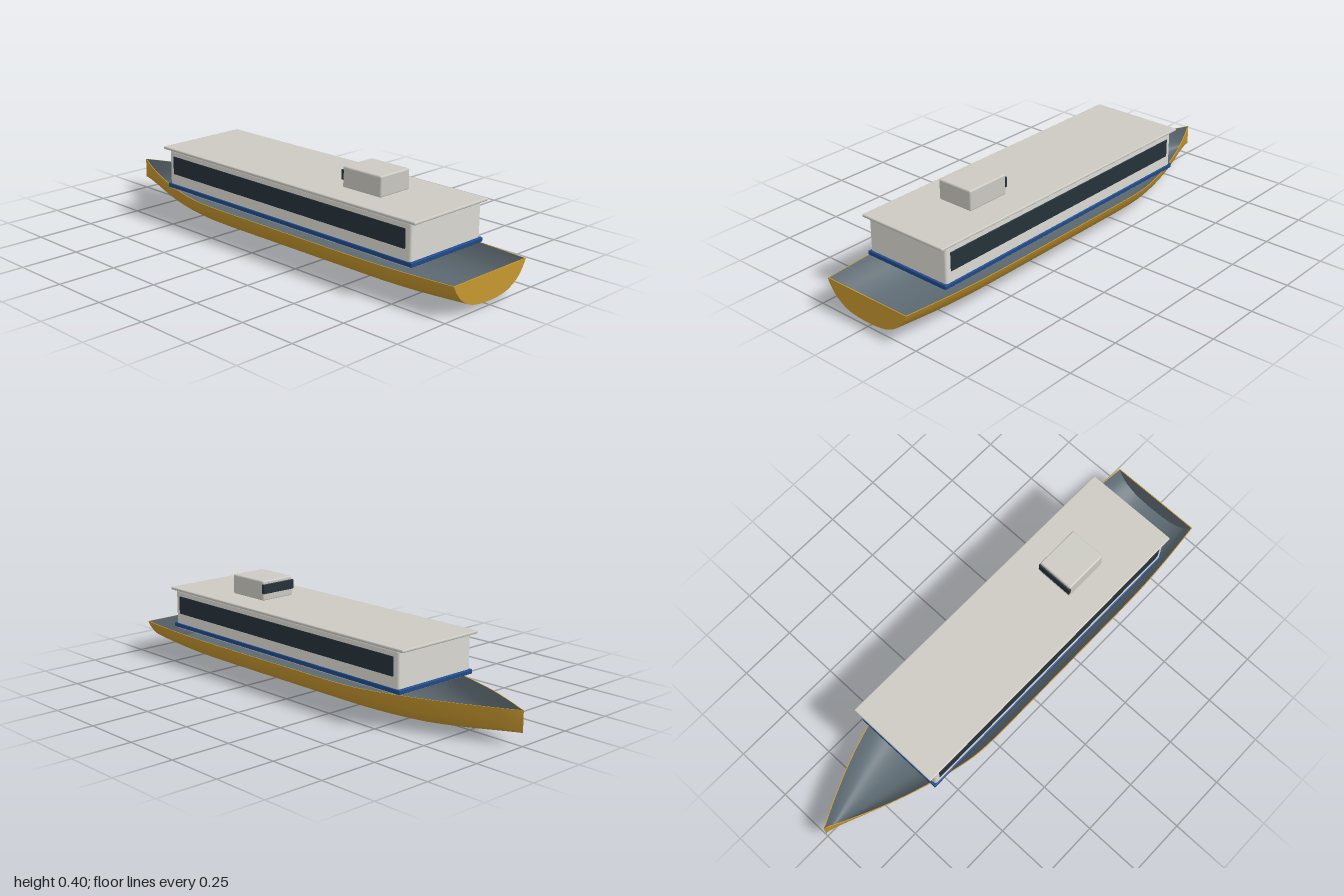
import * as THREE from 'three';
import { RoundedBoxGeometry } from 'three/addons/geometries/RoundedBoxGeometry.js';

const mat = (color, extra = {}) => new THREE.MeshStandardMaterial({ color, ...extra });

// Hull stations from stern to bow: z, half width, keel height, rim height
const STATIONS = [
  [1, 0.208, 0.017, 0.126], [0.8, 0.226, 0.005, 0.125], [0.6, 0.236, 0, 0.125],
  [0.3, 0.237, 0, 0.125], [0, 0.237, 0, 0.126], [-0.3, 0.235, 0, 0.127],
  [-0.45, 0.214, 0, 0.129], [-0.6, 0.171, 0.003, 0.131], [-0.75, 0.118, 0.017, 0.134],
  [-0.9, 0.051, 0.037, 0.136], [-1, 0, 0.052, 0.137],
];
// Half section from rim to keel, as fractions of width and height
const SECTION = [[1, 1], [0.93, 0.75], [0.8, 0.44], [0.59, 0.18], [0.36, 0.05], [0, 0]];

// Grid of hull points; inset pulls the skin inward to give the hull thickness
function hullGrid(inset) {
  const spline = (pts) => new THREE.CatmullRomCurve3(pts, false, 'catmullrom', 0.5);
  const half = SECTION.map(([u, v]) => new THREE.Vector3(u, v, 0));
  const full = [...half, ...half.slice(0, -1).reverse().map((p) => new THREE.Vector3(-p.x, p.y, 0))];
  const section = spline(full).getPoints(30);
  const shape = spline(STATIONS.map(([, w, b, t]) => new THREE.Vector3(w, b, t)));
  const along = spline(STATIONS.map(([z]) => new THREE.Vector3(z, 0, 0)));
  const rows = [];
  for (let i = 0; i <= 50; i++) {
    const s = shape.getPoint(i / 50);
    const z = along.getPoint(i / 50).x - (i === 0 ? inset : 0);
    const w = Math.max(0, s.x - inset);
    const bottom = Math.max(0, s.y) + inset;
    rows.push(section.map((p) => new THREE.Vector3(
      p.x * w, bottom + Math.max(0, p.y) * (s.z - bottom), z)));
  }
  return rows;
}

// Skin over rows of points; flip reverses the facing
function skin(rows, flip) {
  const n = rows[0].length;
  const index = [];
  for (let i = 0; i < rows.length - 1; i++) {
    for (let j = 0; j < n - 1; j++) {
      const a = i * n + j, b = a + 1, c = a + n, d = c + 1;
      if (flip) index.push(a, c, b, b, c, d);
      else index.push(a, b, c, b, d, c);
    }
  }
  const g = new THREE.BufferGeometry().setFromPoints(rows.flat());
  g.setIndex(index);
  g.computeVertexNormals();
  return g;
}

// Flat end plate closing a section at the stern
function endPlate(row) {
  const shape = new THREE.Shape(row.map((p) => new THREE.Vector2(p.x, p.y)));
  return new THREE.ShapeGeometry(shape).translate(0, 0, row[0].z);
}

export function createModel() {
  const model = new THREE.Group();
  const gold = mat(0xc8982f);
  const deckGrey = mat(0x5d6a72);
  const white = mat(0xdcdad3);
  const roofGrey = mat(0xcbc9c2);
  const blue = mat(0x1f4a8a);
  const glass = mat(0x25313a);

  const add = (name, geometry, material, parent = model) => {
    const mesh = new THREE.Mesh(geometry, material);
    mesh.name = name;
    parent.add(mesh);
    return mesh;
  };
  // Bevelled block given by its min and max on each axis
  const block = (name, [x0, x1], [y0, y1], [z0, z1], r, material, parent) => {
    const g = new RoundedBoxGeometry(x1 - x0, y1 - y0, z1 - z0, 2, r);
    g.translate((x0 + x1) / 2, (y0 + y1) / 2, (z0 + z1) / 2);
    return add(name, g, material, parent);
  };

  // Hull: outer shell, scooped inner deck, rim and transom
  const hull = new THREE.Group();
  hull.name = 'hull';
  model.add(hull);
  const outer = hullGrid(0);
  const inner = hullGrid(0.004);
  const last = outer[0].length - 1;
  add('hullShell', skin(outer, false), gold, hull);
  add('innerDeck', skin(inner, true), deckGrey, hull);
  add('transom', endPlate(outer[0]), gold.clone(), hull).material.side = THREE.DoubleSide;
  const inside = add('innerTransom', endPlate(inner[0]), deckGrey.clone(), hull);
  inside.material.side = THREE.DoubleSide;
  const rimMat = gold.clone();
  rimMat.side = THREE.DoubleSide;
  for (const [name, j] of [['leftRim', 0], ['rightRim', last]]) {
    add(name, skin(outer.map((row, i) => [row[j], inner[i][j]]), j === 0), rimMat, hull);
  }
  add('sternRim', skin([[outer[0][0], outer[0][last]], [inner[0][0], inner[0][last]]], false), rimMat, hull);

  // Passenger cabin with blue band, roof and side windows
  const cabin = new THREE.Group();
  cabin.name = 'cabin';
  model.add(cabin);
  block('cabinBody', [-0.2, 0.2], [0.132, 0.307], [-0.57, 0.79], 0.01, white, cabin);
  block('blueBand', [-0.205, 0.205], [0.14, 0.158], [-0.58, 0.8], 0.003, blue, cabin);
  block('roof', [-0.21, 0.21], [0.305, 0.317], [-0.6, 0.815], 0.005, roofGrey, cabin);
  for (const [name, side] of [['leftWindow', 1], ['rightWindow', -1]]) {
    block(name, [side * 0.2 - 0.003, side * 0.2 + 0.003], [0.203, 0.281], [-0.545, 0.765], 0.002, glass, cabin);
  }

  // Wheelhouse on the roof, its window looking toward the bow
  const wheelhouse = new THREE.Group();
  wheelhouse.name = 'wheelhouse';
  model.add(wheelhouse);
  block('wheelhouseBody', [-0.082, 0.082], [0.314, 0.4], [0.337, 0.535], 0.007, roofGrey, wheelhouse);
  block('wheelhouseWindow', [-0.083, 0.083], [0.345, 0.386], [0.331, 0.343], 0.002, glass, wheelhouse);

  return model;
}
